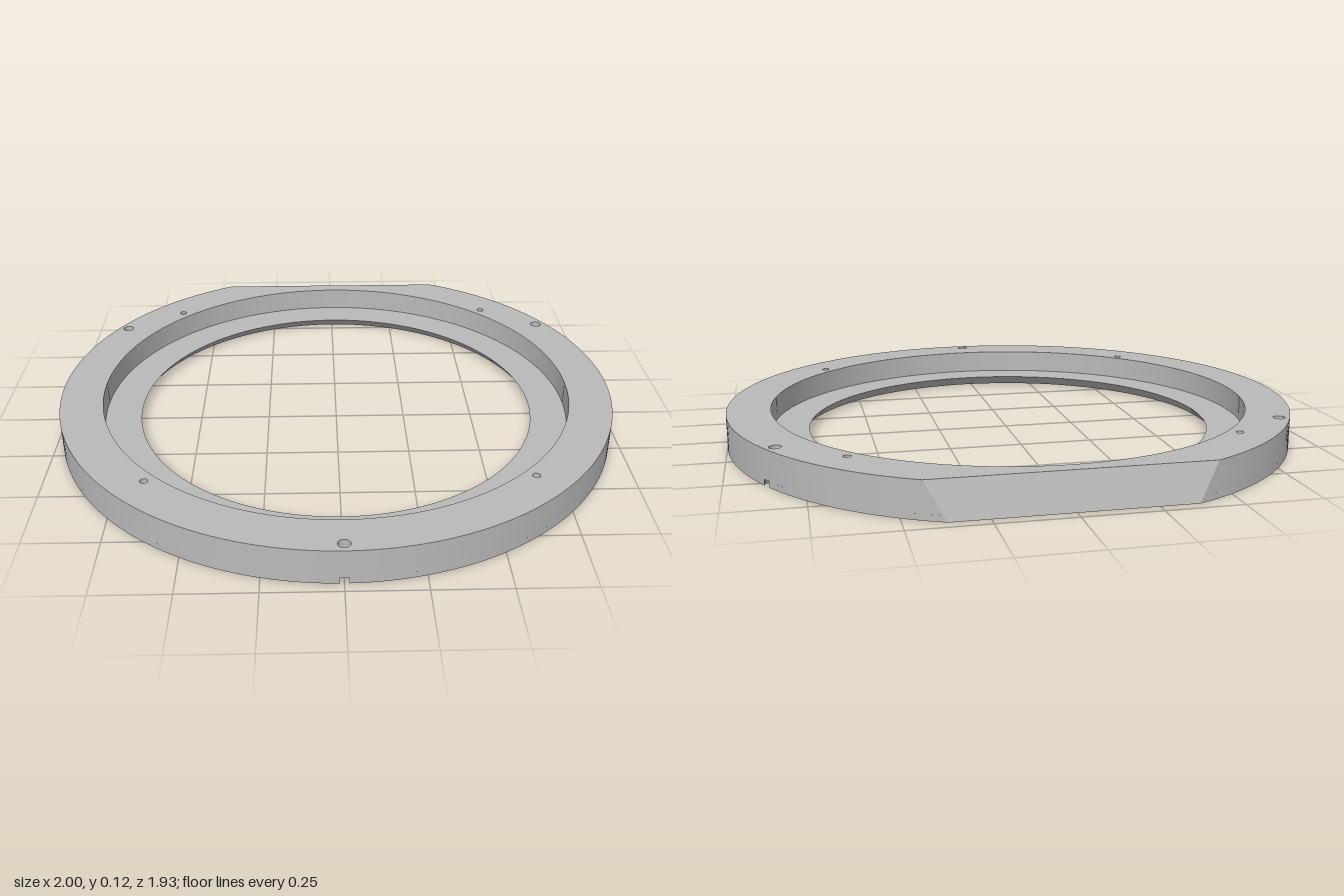
import * as THREE from 'three';
import { toCreasedNormals } from 'three/addons/utils/BufferGeometryUtils.js';

const H = 0.12, LEDGE = 0.036, BORE_DEPTH = 0.02, TAP_DEPTH = 0.06;
const R_RECESS = 0.848, R_BORE = 0.718, R_FLARE = 0.75;
const BOLT_DIST = 0.965, R_BOLT = 0.02, TAP_DIST = 0.887, R_TAP = 0.013;
const NOTCH = Math.asin(0.014); // half angle of each counterbore's opening in the rim
const BOLTS = [-2 * Math.PI / 3, 0, 2 * Math.PI / 3];
const TAPS = [0.25, 0.75, 1.25, 1.75].map(k => k * Math.PI);

// Points are [x, z]; angle 0 faces the front
const at = (angle, r) => [Math.sin(angle) * r, Math.cos(angle) * r];

function arc(center, r, from, to, n) {
  const pts = [];
  for (let i = 0; i <= n; i++) {
    const [x, z] = at(from + (to - from) * i / n, r);
    pts.push([center[0] + x, center[1] + z]);
  }
  return pts;
}

const circle = (center, r, n = 48) => arc(center, r, -Math.PI, Math.PI, n).slice(0, -1);

// Counterbore edge, which breaks out through the rim
function counterbore(angle) {
  const dx = Math.sin(NOTCH), dz = Math.cos(NOTCH) - BOLT_DIST;
  const phi = Math.atan2(dx, dz);
  return arc(at(angle, BOLT_DIST), Math.hypot(dx, dz), angle - phi, angle - 2 * Math.PI + phi, 40);
}

// Outer outline at height y: a circle cut off by the sloping back flat
function outline(y, notched) {
  const end = Math.PI - Math.acos(0.928 - 0.03 * y / H);
  if (!notched) return arc([0, 0], 1, -end, end, 240);
  const pts = [];
  let from = -end;
  for (const b of BOLTS) {
    pts.push(...arc([0, 0], 1, from, b - NOTCH, 70), ...counterbore(b).slice(1, -1));
    from = b + NOTCH;
  }
  pts.push(...arc([0, 0], 1, from, end, 70));
  return pts;
}

// Wall between two outlines with equal point counts
function wall(low, y0, high, y1, inward = false) {
  const pos = [], n = low.length;
  for (let i = 0; i < n; i++) {
    const j = (i + 1) % n;
    const a = [low[i][0], y0, low[i][1]], b = [low[j][0], y0, low[j][1]];
    const c = [high[j][0], y1, high[j][1]], d = [high[i][0], y1, high[i][1]];
    pos.push(...(inward ? [a, c, b, a, d, c] : [a, b, c, a, c, d]).flat());
  }
  const g = new THREE.BufferGeometry();
  g.setAttribute('position', new THREE.Float32BufferAttribute(pos, 3));
  return toCreasedNormals(g, 0.25);
}

// Flat face with holes, facing up or down
function face(pts, holes, y, up = true) {
  const to2 = p => p.map(([x, z]) => new THREE.Vector2(x, up ? -z : z));
  const shape = new THREE.Shape(to2(pts));
  shape.holes = holes.map(h => new THREE.Path(to2(h)));
  return new THREE.ShapeGeometry(shape).rotateX(up ? -Math.PI / 2 : Math.PI / 2).translate(0, y, 0);
}

export function createModel() {
  const metal = new THREE.MeshStandardMaterial({ color: 0xbababa });
  metal.name = 'grey metal';
  const group = new THREE.Group();
  group.name = 'mountingRing';
  const add = (name, geometry) => {
    const m = new THREE.Mesh(geometry, metal);
    m.name = name;
    group.add(m);
  };
  const ring = r => circle([0, 0], r, 240);
  const boltHoles = BOLTS.map(a => circle(at(a, BOLT_DIST), R_BOLT));
  const tapHoles = TAPS.map(a => circle(at(a, TAP_DIST), R_TAP));

  // Outer rim, notched at the bottom by the counterbores
  add('upperRim', wall(outline(BORE_DEPTH), BORE_DEPTH, outline(H), H));
  add('lowerRim', wall(outline(0, true), 0, outline(BORE_DEPTH, true), BORE_DEPTH));

  // Flat faces
  add('topFace', face(outline(H), [ring(R_RECESS), ...boltHoles, ...tapHoles], H));
  add('ledge', face(ring(R_RECESS), [ring(R_BORE)], LEDGE));
  add('bottomFace', face(outline(0, true), [ring(R_FLARE)], 0, false));

  // Inner walls
  add('recessWall', wall(ring(R_RECESS), LEDGE, ring(R_RECESS), H, true));
  add('flaredBore', wall(ring(R_FLARE), 0, ring(R_BORE), LEDGE, true));

  // Through holes with counterbores below
  BOLTS.forEach((a, i) => {
    add('boltHole', wall(boltHoles[i], BORE_DEPTH, boltHoles[i], H, true));
    add('counterboreSeat', face(counterbore(a), [boltHoles[i]], BORE_DEPTH, false));
  });

  // Blind holes in the top face
  tapHoles.forEach(h => {
    add('blindHole', wall(h, H - TAP_DEPTH, h, H, true));
    add('blindHoleFloor', face(h, [], H - TAP_DEPTH));
  });

  // Centre between the front of the rim and the back flat
  group.children.forEach(m => { m.position.z = -0.036; });
  return group;
}
